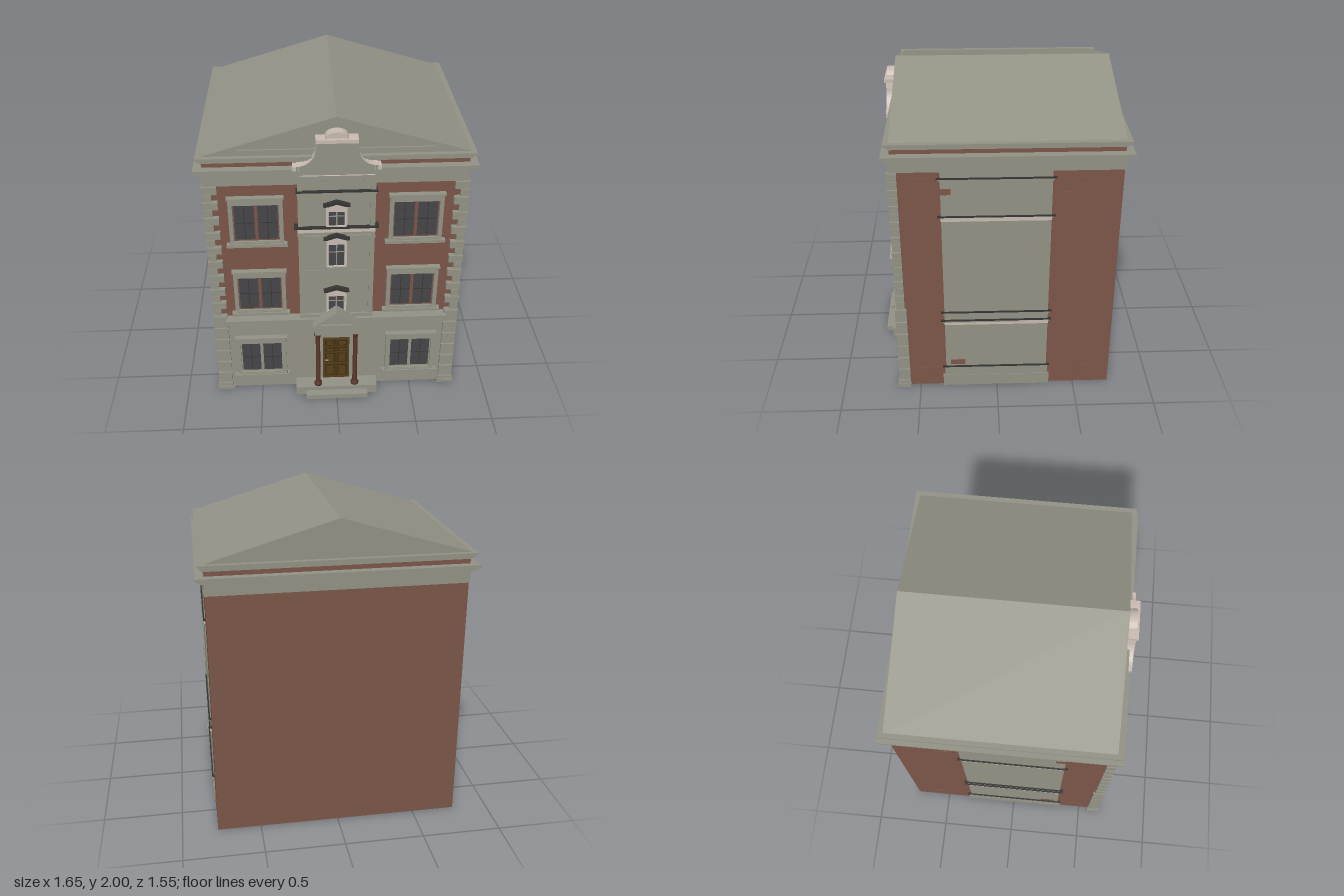
import * as THREE from 'three';

const mat = (name, color) => Object.assign(new THREE.MeshStandardMaterial({ color }), { name });

export function createModel() {
  const root = new THREE.Group();
  root.name = 'townhouse';
  const stone = mat('stone', 0x929285), pale = mat('pale stone', 0xc9bcb2), brick = mat('brick', 0x7c5649),
    glass = mat('glass', 0x464649), trim = mat('dark trim', 0x343532), wood = mat('door wood', 0x553e1a),
    darkWood = mat('dark door wood', 0x3d2b11), red = mat('column red', 0x5c372d);

  // Helpers: box from its limits, flat outline pushed along z, rectangular frame
  const add = (name, geo, m, parent = root) => {
    const mesh = new THREE.Mesh(geo, m);
    mesh.name = name;
    parent.add(mesh);
    return mesh;
  };
  const box = (name, m, x0, x1, y0, y1, z0, z1, parent) => {
    const mesh = add(name, new THREE.BoxGeometry(x1 - x0, y1 - y0, z1 - z0), m, parent);
    mesh.position.set((x0 + x1) / 2, (y0 + y1) / 2, (z0 + z1) / 2);
    return mesh;
  };
  const pts = (list) => list.map(([x, y]) => new THREE.Vector2(x, y));
  const plate = (name, m, outline, z0, z1, hole, parent) => {
    const shape = new THREE.Shape(pts(outline));
    if (hole) shape.holes.push(new THREE.Path(pts(hole)));
    const geo = new THREE.ExtrudeGeometry(shape, { depth: z1 - z0, bevelEnabled: false, curveSegments: 8 });
    geo.translate(0, 0, z0);
    return add(name, geo, m, parent);
  };
  const rect = (x0, x1, y0, y1) => [[x0, y0], [x1, y0], [x1, y1], [x0, y1]];
  const group = (name) => {
    const g = new THREE.Group();
    g.name = name;
    root.add(g);
    return g;
  };

  // Main walls, frieze and foundation
  box('brickWalls', brick, -0.775, 0.775, 0.003, 1.59, -0.73, 0.6);
  box('frieze', stone, -0.78, 0.78, 1.58, 1.66, -0.735, 0.625);
  box('foundationAcross', stone, -0.77, 0.77, 0, 0.01, -0.32, 0.33);
  box('foundationAlong', stone, -0.23, 0.23, 0, 0.01, -0.66, 0.6);

  // Cornice rings with a brick band between them
  const ring = (name, m, out, y0, y1) =>
    box(name, m, -0.775 - out, 0.775 + out, y0, y1, -0.725 - out, 0.605 + out);
  ring('corniceBed', stone, 0.025, 1.655, 1.67);
  ring('corniceMiddle', stone, 0.042, 1.67, 1.682);
  ring('corniceSlab', stone, 0.052, 1.682, 1.697);
  ring('parapetBand', brick, 0.003, 1.69, 1.735);
  ring('topMouldingLower', stone, 0.015, 1.728, 1.742);
  ring('topMouldingMiddle', stone, 0.026, 1.742, 1.756);
  ring('topMouldingUpper', stone, 0.036, 1.756, 1.768);

  // Gabled roof with a shallow moulded frame on the front
  const gable = [[-0.79, 1.765], [0.79, 1.765], [0, 2]];
  plate('roof', stone, gable, -0.73, 0.598);
  plate('pedimentFrame', stone, gable, 0.598, 0.61, [[-0.58, 1.802], [0, 1.972], [0.58, 1.802]]);

  // Ground storey facing and ledge
  box('groundStorey', stone, -0.765, 0.765, 0, 0.585, 0.59, 0.62);
  box('groundFrieze', stone, -0.71, 0.71, 0.505, 0.575, 0.61, 0.63);
  box('ledge', stone, -0.71, 0.71, 0.575, 0.6, 0.6, 0.665);
  box('doorBay', stone, -0.275, 0.275, 0, 0.51, 0.6, 0.628);

  // Corner quoins
  for (const s of [-1, 1]) {
    const q = group('quoins');
    const block = (x0, x1, y0, y1, z0, z1) =>
      box('quoin', stone, Math.min(s * x0, s * x1), Math.max(s * x0, s * x1), y0, y1, z0, z1, q);
    block(0.705, 0.78, 0, 0.62, 0.58, 0.627);
    block(0.69, 0.8, 0, 0.025, 0.563, 0.648);
    block(0.697, 0.793, 0.025, 0.05, 0.567, 0.641);
    for (let i = 0; i < 6; i++) {
      const y = 0.056 + i * 0.0955;
      block(0.7, 0.79, y, y + 0.085, 0.566, 0.638);
    }
    block(0.742, 0.778, 0.62, 1.58, 0.58, 0.618);
    const n = 18, step = 0.955 / n;
    for (let i = 0; i < n; i++) {
      const y = 0.627 + i * step;
      block(i % 2 ? 0.7 : 0.735, i % 2 ? 0.79 : 0.785, y, y + step - 0.006, 0.575, i % 2 ? 0.632 : 0.628);
    }
  }

  // Side stone panels with mouldings and exposed bricks
  for (const s of [-1, 1]) {
    const side = group('sidePanel');
    const slab = (name, m, out, y0, y1, z0, z1) =>
      box(name, m, s > 0 ? 0.76 : -out, s > 0 ? out : -0.76, y0, y1, z0, z1, side);
    slab('panel', stone, 0.781, 0, 1.66, -0.32, 0.33);
    slab('panelPlinth', stone, 0.788, 0, 0.085, -0.34, 0.35);
    slab('panelPlinthUpper', stone, 0.785, 0.085, 0.15, -0.328, 0.338);
    slab('paleBand', pale, 0.786, 0.495, 0.528, -0.322, 0.332);
    slab('paleBand', pale, 0.786, 1.255, 1.285, -0.322, 0.332);
    slab('topBand', stone, 0.79, 1.635, 1.657, -0.325, 0.335);
    for (const y of [0.152, 0.525, 0.588, 1.283, 1.535]) {
      slab('mouldingLine', trim, 0.79, y, y + 0.008, -0.342, 0.352);
      slab('mouldingBed', stone, 0.786, y - 0.012, y, -0.33, 0.34);
    }
    slab('exposedBrick', brick, 0.784, 1.433, 1.472, 0.27, 0.33);
    slab('exposedBrick', brick, 0.784, 0.172, 0.21, 0.205, 0.3);
    for (const [y, z] of [[1.4, -0.45], [1.5, -0.58], [0.1, -0.6], [1.5, 0.42], [0.1, 0.42]])
      slab('raisedBrick', brick, 0.779, y, y + 0.04, z, z + 0.09);
  }

  // Large paired windows: bottom of glass, top of glass, sash colour, wall plane
  for (const s of [-1, 1]) {
    for (const [b, t, sash, z] of [[1.195, 1.432, brick, 0.6], [0.665, 0.9, brick, 0.6], [0.152, 0.38, stone, 0.62]]) {
      const w = group('largeWindow');
      w.position.x = s * (z > 0.61 ? 0.492 : 0.482);
      box('sash', sash, -0.14, 0.14, b - 0.015, t + 0.015, z - 0.01, z + 0.006, w);
      plate('surround', stone, rect(-0.163, 0.163, b - 0.02, t + 0.04), z, z + 0.022,
        [[-0.138, b - 0.01], [-0.138, t + 0.01], [0.138, t + 0.01], [0.138, b - 0.01]], w);
      box('hoodBed', stone, -0.155, 0.155, t + 0.036, t + 0.052, z, z + 0.026, w);
      box('hood', stone, -0.17, 0.17, t + 0.052, t + 0.065, z, z + 0.036, w);
      box('sill', stone, -0.185, 0.185, b - 0.045, b - 0.025, z, z + 0.034, w);
      box('sillBed', stone, -0.165, 0.165, b - 0.028, b - 0.016, z, z + 0.026, w);
      for (const c of [-0.07, 0.07]) {
        box('pane', glass, c - 0.06, c + 0.06, b, t, z, z + 0.008, w);
        box('glazingBar', trim, c - 0.002, c + 0.002, b, t, z, z + 0.01, w);
        box('glazingBar', trim, c - 0.06, c + 0.06, (b + t) / 2 - 0.002, (b + t) / 2 + 0.002, z, z + 0.01, w);
      }
    }
  }

  // Central bay with edge pilasters and bands
  box('centralBay', stone, -0.225, 0.225, 0.6, 1.67, 0.59, 0.632);
  for (const s of [-1, 1]) {
    box('pilaster', stone, s * 0.217 - 0.015, s * 0.217 + 0.015, 0.6, 1.65, 0.6, 0.64);
    box('sideBand', stone, s * 0.15 - 0.08, s * 0.15 + 0.08, 0.935, 0.965, 0.6, 0.637);
  }
  box('bayBase', stone, -0.235, 0.235, 0.6, 0.625, 0.6, 0.645);
  box('bayBand', stone, -0.235, 0.235, 1.2, 1.225, 0.6, 0.64);
  box('bayPaleBand', pale, -0.235, 0.235, 1.253, 1.284, 0.6, 0.645);
  box('bayMoulding', trim, -0.255, 0.255, 1.284, 1.294, 0.6, 0.656);
  box('bayUpperMoulding', trim, -0.242, 0.242, 1.535, 1.543, 0.6, 0.654);
  box('bayUpperBand', stone, -0.236, 0.236, 1.515, 1.535, 0.6, 0.644);
  for (let i = 0; i < 19; i++)
    box('dentil', stone, -0.217 + i * 0.0235, -0.206 + i * 0.0235, 1.605, 1.622, 0.63, 0.645);
  box('bayCrown', stone, -0.242, 0.242, 1.622, 1.65, 0.6, 0.655);

  // Small bay windows with dark peaked hoods
  for (const [b, t] of [[1.3, 1.4], [1.005, 1.165], [0.655, 0.77]]) {
    const w = group('smallWindow');
    plate('surround', pale, rect(-0.063, 0.063, b - 0.008, t + 0.035), 0.63, 0.648,
      [[-0.05, b], [-0.05, t], [0.05, t], [0.05, b]], w);
    for (const c of [-0.025, 0.025]) {
      box('pane', glass, c - 0.021, c + 0.021, b, t, 0.63, 0.638, w);
      box('glazingBar', stone, c - 0.022, c + 0.022, b + (t - b) * 0.62, b + (t - b) * 0.62 + 0.006, 0.63, 0.641, w);
    }
    box('mullion', stone, -0.004, 0.004, b, t, 0.63, 0.643, w);
    plate('pediment', pale, [[-0.07, t + 0.035], [0.07, t + 0.035], [0, t + 0.062]], 0.63, 0.65, null, w);
    plate('hood', trim, [[-0.08, t + 0.04], [-0.055, t + 0.04], [0, t + 0.058], [0.055, t + 0.04],
      [0.08, t + 0.04], [0.08, t + 0.052], [0, t + 0.078], [-0.08, t + 0.052]], 0.63, 0.662, null, w);
  }

  // Curved gable over the bay, with a pale rim
  const half = (k) => {
    const curve = [];
    for (let i = 0; i <= 10; i++) {
      const a = (i / 10) * Math.PI / 2;
      curve.push([0.235 - 0.115 * Math.sin(a) - k, 1.83 - 0.11 * Math.cos(a)]);
    }
    return [[0.235 - k, 1.645], [0.235 - k, 1.715], ...curve, [0.113 - k, 1.872 - k]];
  };
  const mirrored = (k) => [...half(k), ...half(k).reverse().map(([x, y]) => [-x, y])];
  plate('gableFace', stone, mirrored(0.004), 0.595, 0.658);
  plate('gableRim', [stone, pale], mirrored(0), 0.595, 0.668, mirrored(0.012).map(([x, y]) => [x, Math.max(y, 1.657)]).reverse());
  for (const s of [-1, 1]) {
    box('gableScroll', stone, s * 0.24 - 0.025, s * 0.24 + 0.025, 1.655, 1.69, 0.6, 0.664);
    box('gableScrollTop', pale, s * 0.238 - 0.018, s * 0.238 + 0.018, 1.69, 1.718, 0.6, 0.666);
  }
  box('gableCap', pale, -0.122, 0.122, 1.868, 1.89, 0.6, 0.678);
  const arc = (r) => Array.from({ length: 13 }, (_, i) => [r * Math.cos(i * Math.PI / 12), 1.888 + r * 0.62 * Math.sin(i * Math.PI / 12)]);
  plate('crest', pale, arc(0.066), 0.6, 0.655);
  plate('crestRim', pale, [...arc(0.068), ...arc(0.048).reverse()], 0.6, 0.663);

  // Entrance steps and panelled door
  box('upperStep', stone, -0.27, 0.27, 0, 0.065, 0.6, 0.722);
  box('lowerStep', stone, -0.205, 0.205, 0, 0.035, 0.6, 0.77);
  box('door', wood, -0.087, 0.087, 0.065, 0.412, 0.61, 0.636);
  for (const s of [-1, 1])
    for (const [y0, y1] of [[0.09, 0.185], [0.205, 0.285], [0.3, 0.335], [0.35, 0.395]]) {
      box('doorPanelEdge', darkWood, s * 0.041 - 0.032, s * 0.041 + 0.032, y0, y1, 0.63, 0.639);
      box('doorPanel', wood, s * 0.041 - 0.023, s * 0.041 + 0.023, y0 + 0.008, y1 - 0.008, 0.63, 0.642);
    }
  box('doorSplit', darkWood, -0.003, 0.003, 0.07, 0.408, 0.63, 0.639);
  box('doorHandle', stone, -0.075, -0.05, 0.225, 0.232, 0.636, 0.648);

  // Portico: turned columns, entablature and pediment
  const profile = pts([[0, 0.065], [0.026, 0.065], [0.026, 0.078], [0.018, 0.088], [0.016, 0.1],
    [0.014, 0.465], [0.017, 0.475], [0.015, 0.482], [0.024, 0.495], [0.024, 0.505], [0, 0.505]]);
  for (const s of [-1, 1]) {
    const column = add('porticoColumn', new THREE.LatheGeometry(profile, 16), red);
    column.position.set(s * 0.122, 0, 0.69);
  }
  box('entablature', stone, -0.142, 0.142, 0.503, 0.562, 0.6, 0.71);
  box('porticoCornice', stone, -0.152, 0.152, 0.562, 0.58, 0.6, 0.72);
  const peak = [[-0.152, 0.58], [0.152, 0.58], [0, 0.69]];
  plate('porticoRoof', stone, peak, 0.6, 0.708);
  plate('porticoPedimentFrame', stone, peak, 0.708, 0.72, [[-0.11, 0.59], [0, 0.67], [0.11, 0.59]]);

  return root;
}
